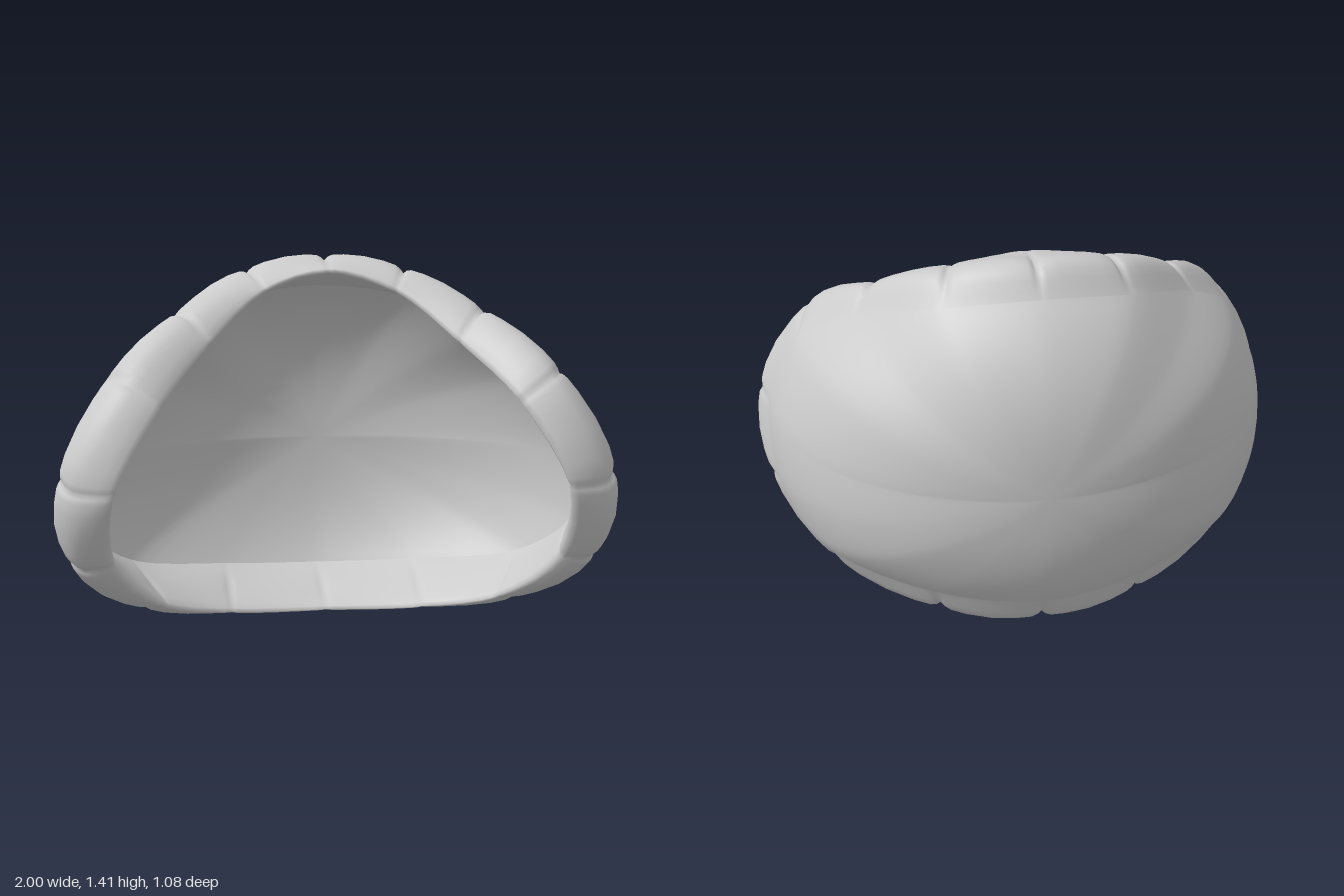
import * as THREE from 'three';
import { mergeVertices } from 'three/addons/utils/BufferGeometryUtils.js';

// Rim rails on the +x side, top to bottom, one point per seam between pads
const RAILS = {
  lip: [[0, 1.355, -0.01], [0.24, 1.285, 0.03], [0.45, 1.11, 0.2], [0.62, 0.93, 0.45], [0.785, 0.64, 0.535],
    [0.795, 0.36, 0.38], [0.62, 0.14, 0.13], [0.37, 0.055, -0.05], [0, 0.03, -0.13]],
  front: [[0, 1.385, -0.11], [0.27, 1.335, -0.03], [0.51, 1.195, 0.16], [0.735, 1.01, 0.43], [0.925, 0.64, 0.495],
    [0.9, 0.34, 0.38], [0.69, 0.125, 0.11], [0.37, 0.035, -0.13], [0, 0.015, -0.22]],
  crest: [[0, 1.4, -0.22], [0.3, 1.355, -0.15], [0.56, 1.22, 0.08], [0.79, 1.025, 0.33], [0.98, 0.67, 0.41],
    [0.965, 0.37, 0.28], [0.735, 0.125, -0.03], [0.37, 0.03, -0.28], [0, 0.005, -0.36]],
  outerJoint: [[0, 1.305, -0.3], [0.33, 1.265, -0.23], [0.62, 1.135, 0.02], [0.83, 0.97, 0.2], [0.95, 0.68, 0.24],
    [0.93, 0.42, 0.1], [0.77, 0.24, -0.12], [0.39, 0.155, -0.35], [0, 0.13, -0.43]],
};
const PADS = 16;
// Samples along one pad, and how deep the seam is at each
const STEPS = [0, 0.04, 0.1, 0.25, 0.5, 0.75, 0.9, 0.96];
const SEAM = [1, 0.4, 0.05, 0, 0, 0, 0.05, 0.4];
// Curvature depth of the back and height of its middle
const BULGE = 0.82, MIDDLE = 0.65;

// Closed rail: the half mirrored over x = 0
function rail(points) {
  const half = points.map((p) => new THREE.Vector3(...p));
  const mirrored = half.slice(1, -1).reverse().map((p) => new THREE.Vector3(-p.x, p.y, p.z));
  return new THREE.CatmullRomCurve3([...half, ...mirrored], true);
}

// Surface through rows of points; every row belongs to one place around the rim
function loft(name, rows, material) {
  const n = rows.length, m = rows[0].length, index = [];
  for (let i = 0; i < n; i++) {
    for (let j = 0; j < m - 1; j++) {
      const a = i * m + j, b = ((i + 1) % n) * m + j;
      index.push(a, b, a + 1, b, b + 1, a + 1);
    }
  }
  let geometry = new THREE.BufferGeometry().setFromPoints(rows.flat());
  geometry.setIndex(index);
  geometry = mergeVertices(geometry, 1e-5);
  geometry.computeVertexNormals();
  const mesh = new THREE.Mesh(geometry, material);
  mesh.name = name;
  return mesh;
}

// Arc from a rim point to the middle of the back, fuller towards top and bottom
function spoke(rim, depth) {
  const rise = rim.y - MIDDLE;
  const end = Math.acos(1 - Math.min((rim.z - depth) / BULGE, 1));
  const fullness = 1 - 0.25 * Math.abs(rise) / Math.hypot(rim.x, rise);
  const points = [];
  for (let k = 16; k >= 0; k--) {
    const angle = (end * k) / 16, r = Math.pow(Math.sin(angle) / Math.sin(end), fullness);
    points.push(new THREE.Vector3(rim.x * r, MIDDLE + rise * r, depth + BULGE * (1 - Math.cos(angle))));
  }
  return points;
}

export function createModel() {
  const group = new THREE.Group();
  group.name = 'paddedShell';
  const material = new THREE.MeshStandardMaterial({ color: 0xcccccc, side: THREE.DoubleSide });
  const rails = Object.fromEntries(Object.entries(RAILS).map(([k, v]) => [k, rail(v)]));
  const pads = [], back = [], bowl = [];

  for (let p = 0; p < PADS; p++) {
    STEPS.forEach((u, s) => {
      const t = (p + u) / PADS;
      const at = (key) => rails[key].getPoint(t);
      const lip = at('lip'), front = at('front'), crest = at('crest'), outer = at('outerJoint');

      // Inner joint sits just inside the outer one, one shell thickness forward
      const inner = new THREE.Vector3(outer.x * 0.965, MIDDLE + (outer.y - MIDDLE) * 0.965, outer.z + 0.01);
      const lining = inner.clone().lerp(lip, 0.55);

      // Pads swell slightly between seams and pinch in at them
      const core = inner.clone().add(front).add(crest).add(outer).divideScalar(4);
      const swell = 0.01 * Math.sin(Math.PI * u);
      const puffs = [[lining, 0.015 + swell, 0.7], [lip, 0, 0.15], [front, swell, 0.6], [crest, swell, 1]];
      puffs.forEach(([v, puff, pinch]) => {
        v.addScaledVector(v.clone().sub(core).normalize(), puff - 0.024 * pinch * SEAM[s]);
        v.y = Math.max(v.y, 0);
      });

      pads.push(new THREE.CatmullRomCurve3([inner, lining, lip, front, crest, outer]).getPoints(20));
      back.push(spoke(outer, -0.54));
      bowl.push(spoke(inner, -0.515).reverse());
    });
  }

  group.add(
    loft('rimPads', pads, material),
    loft('backShell', back, material),
    loft('innerBowl', bowl, material),
  );
  return group;
}
